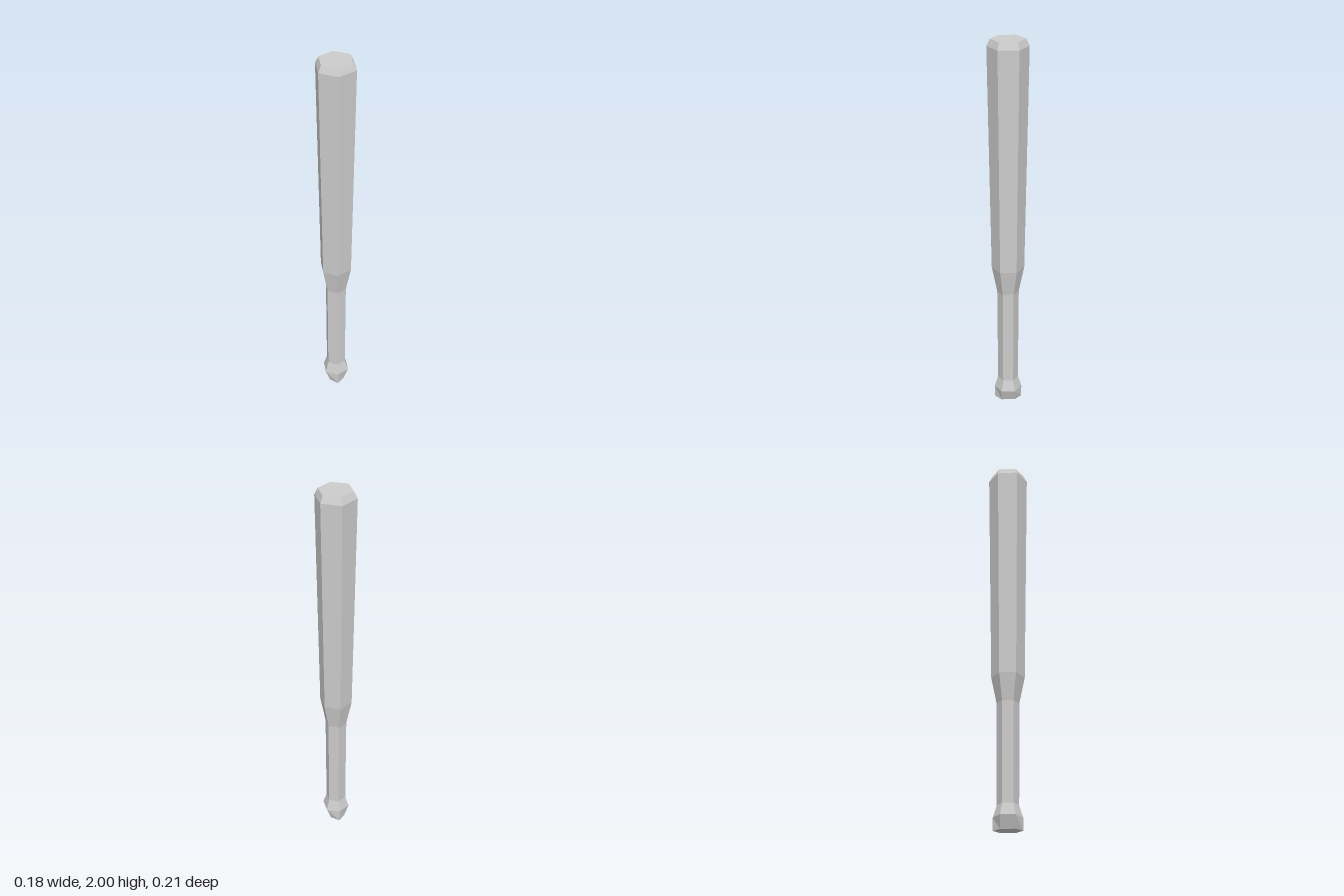
import * as THREE from 'three';

const bare = new THREE.MeshStandardMaterial({ color: 0xcccccc, flatShading: true });
bare.name = 'plainGrey';

// Six-sided turned section with corners on the z axis; profile runs [radius, y] upward
function section(name, profile) {
  const points = profile.map(([r, y]) => new THREE.Vector2(r, y));
  const mesh = new THREE.Mesh(new THREE.LatheGeometry(points, 6), bare);
  mesh.name = name;
  return mesh;
}

export function createModel() {
  const bat = new THREE.Group();
  bat.name = 'bat';

  // Knob: its closed underside is pinched across x only
  const knob = section('knob', [[0, 0], [0.073, 0], [0.073, 0.065], [0.054, 0.125]]);
  const pos = knob.geometry.attributes.position;
  for (let i = 0; i < pos.count; i++) {
    if (pos.getY(i) < 0.01) pos.setX(i, pos.getX(i) * 0.62);
  }

  // Slim grip
  const handle = section('handle', [[0.054, 0.125], [0.057, 0.65]]);

  // Flared shoulder, long taper and bevelled closed end
  const barrel = section('barrel', [
    [0.057, 0.65], [0.085, 0.79], [0.104, 1.965], [0.087, 2], [0, 2],
  ]);

  bat.add(knob, handle, barrel);
  return bat;
}
